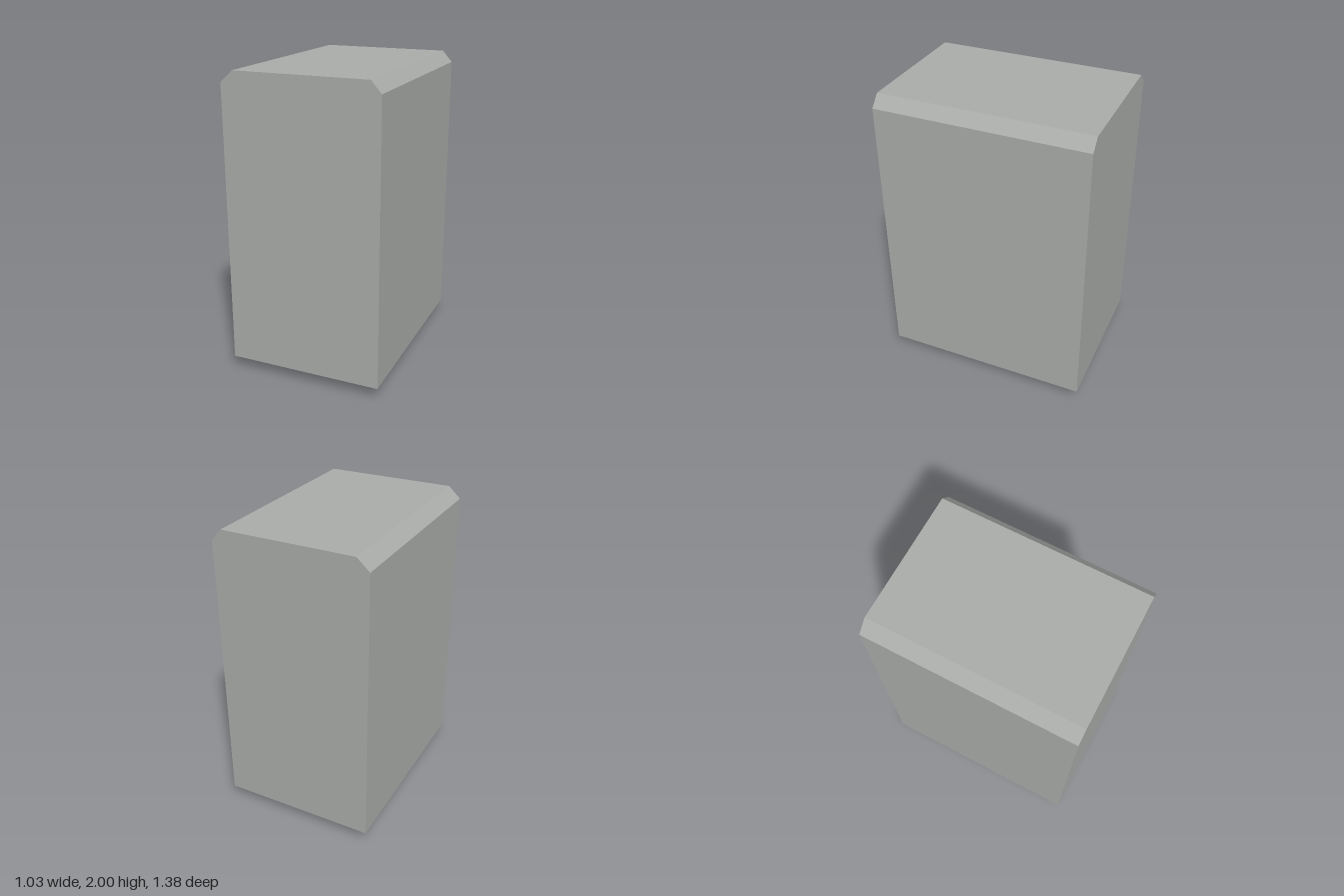
import * as THREE from 'three';

export function createModel() {
  const group = new THREE.Group();
  const casingGrey = new THREE.MeshStandardMaterial({ color: 0xabadab });
  casingGrey.name = 'casing grey';
  const rubberBlack = new THREE.MeshStandardMaterial({ color: 0x111111 });
  rubberBlack.name = 'rubber black';

  // Casing: front profile with bevelled upper corners, extruded along z
  const depth = 1.382;
  const profile = new THREE.Shape([
    [-0.513, 0.083], [0.513, 0.083], [0.513, 1.925],
    [0.447, 2], [-0.43, 2], [-0.513, 1.925],
  ].map(([x, y]) => new THREE.Vector2(x, y)));
  const casingGeometry = new THREE.ExtrudeGeometry(profile, { depth, bevelEnabled: false });
  casingGeometry.translate(0, 0, -depth / 2);
  const casing = new THREE.Mesh(casingGeometry, casingGrey);
  casing.name = 'casing';
  group.add(casing);

  // Four short round feet
  const footGeometry = new THREE.CylinderGeometry(0.04, 0.04, 0.083, 24);
  for (const x of [-0.37, 0.36]) {
    for (const z of [-0.455, 0.46]) {
      const foot = new THREE.Mesh(footGeometry, rubberBlack);
      foot.name = `${z > 0 ? 'front' : 'back'}${x > 0 ? 'Left' : 'Right'}Foot`;
      foot.position.set(x, 0.0415, z);
      group.add(foot);
    }
  }
  return group;
}
